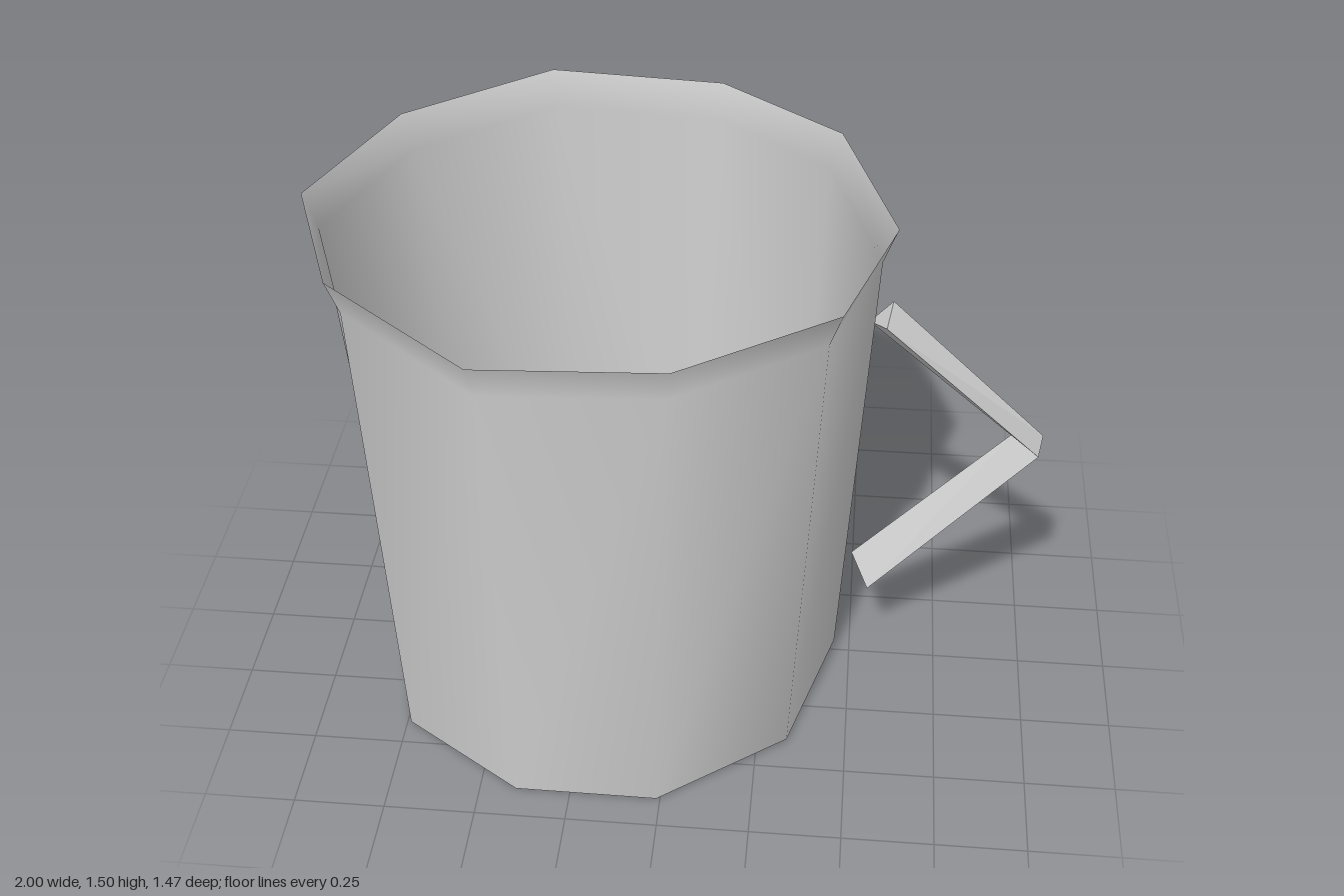
import * as THREE from 'three';

const grey = new THREE.MeshStandardMaterial({ color: 0xcccccc, side: THREE.DoubleSide });
grey.name = 'plain grey';

// Slightly irregular ten-sided rings, listed from +x towards +z
const rim = [
  [0.56, 1.463, 0.01], [0.43, 1.49, 0.47], [0.04, 1.48, 0.73], [-0.44, 1.46, 0.73], [-0.84, 1.485, 0.43],
  [-1, 1.48, 0], [-0.83, 1.475, -0.47], [-0.44, 1.495, -0.74], [0.05, 1.475, -0.74], [0.4, 1.48, -0.46],
];
const base = [
  [0.455, -0.02], [0.335, 0.4], [-0.01, 0.655], [-0.4, 0.65], [-0.74, 0.42],
  [-0.85, -0.03], [-0.72, -0.4], [-0.4, -0.62], [-0.01, -0.63], [0.31, -0.39],
].map(([x, z]) => [x, 0.014 - 0.018 * z + 0.008 * x, z]);
const neck = rim.map(([x, y, z]) => [-0.22 + (x + 0.22) * 0.953, y - 0.1, z * 0.953]);

// Joins closed rings of equal length, first to last
function loft(rings) {
  const n = rings[0].length, index = [];
  for (let r = 0; r < rings.length - 1; r++) {
    for (let i = 0; i < n; i++) {
      const a = r * n + i, b = r * n + (i + 1) % n;
      index.push(a, a + n, b, b, a + n, b + n);
    }
  }
  const g = new THREE.BufferGeometry();
  g.setAttribute('position', new THREE.Float32BufferAttribute(rings.flat(2), 3));
  g.setIndex(index);
  return g;
}

// Fills a ring with a fan of triangles
function cap(ring, flip) {
  const g = new THREE.BufferGeometry(), index = [];
  for (let i = 1; i < ring.length - 1; i++) index.push(0, ...(flip ? [i + 1, i] : [i, i + 1]));
  g.setAttribute('position', new THREE.Float32BufferAttribute(ring.flat(), 3));
  g.setIndex(index);
  g.computeVertexNormals();
  return g;
}

function add(group, name, geometry) {
  const mesh = new THREE.Mesh(geometry, grey);
  mesh.name = name;
  group.add(mesh);
}

export function createModel() {
  const cup = new THREE.Group();
  cup.name = 'cup';

  // Thin smooth wall with a flared lip, and a flat floor
  const wall = loft([base, neck, rim]);
  wall.computeVertexNormals();
  add(cup, 'wall', wall);
  add(cup, 'floor', cap(base, false));

  // Angular handle: two three-sided bars meeting at an elbow
  const handle = new THREE.Group();
  handle.name = 'handle';
  const top = [[0.545, 1.19, 0.06], [0.56, 1.22, -0.03], [0.5, 1.15, -0.035]];
  const elbow = [[0.977, 0.8, 0.06], [0.995, 0.8, -0.04], [0.91, 0.8, -0.04]];
  const bottom = [[0.54, 0.297, 0.06], [0.555, 0.29, -0.04], [0.49, 0.35, -0.035]];
  const bar = (from, to) => {
    const g = loft([from, to]).toNonIndexed();
    g.computeVertexNormals();
    return g;
  };
  add(handle, 'upperBar', bar(elbow, top));
  add(handle, 'lowerBar', bar(bottom, elbow));
  add(handle, 'upperEnd', cap(top, true));
  add(handle, 'lowerEnd', cap(bottom, false));
  cup.add(handle);
  return cup;
}
